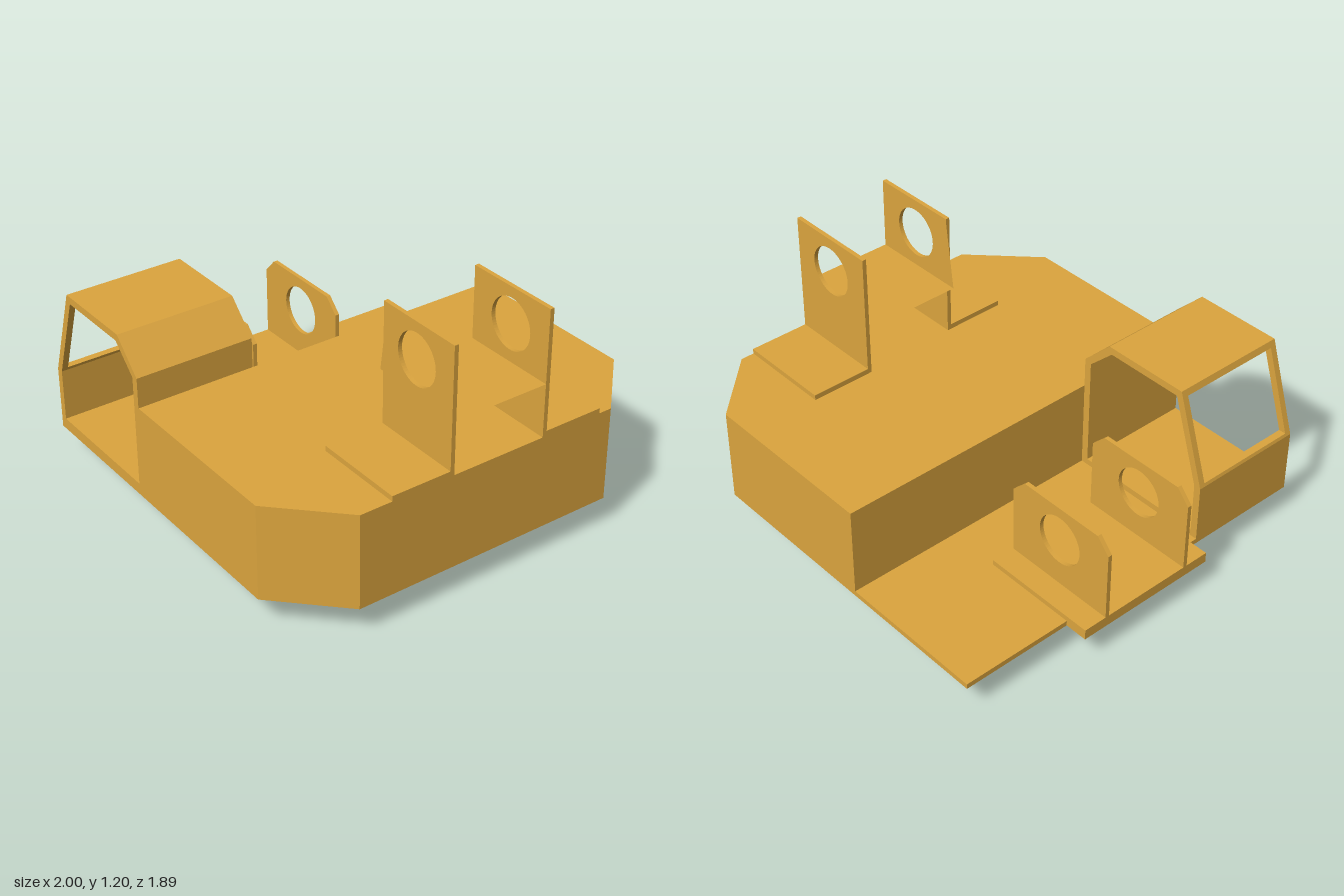
import * as THREE from 'three';

export function createModel() {
  const model = new THREE.Group();
  model.name = 'machineUpperFrame';
  const paint = new THREE.MeshStandardMaterial({ color: 0xdca53e });
  paint.name = 'ochrePaint';
  const sheetPaint = paint;
  sheetPaint.side = THREE.DoubleSide;

  const add = (name, geometry, parent = model) => {
    const mesh = new THREE.Mesh(geometry, paint);
    mesh.name = name;
    parent.add(mesh);
    return mesh;
  };
  const box = (name, x0, x1, y0, y1, z0, z1, parent) =>
    add(name, new THREE.BoxGeometry(x1 - x0, y1 - y0, z1 - z0), parent)
      .position.set((x0 + x1) / 2, (y0 + y1) / 2, (z0 + z1) / 2);
  // Front outline pushed from z0 to z1, with an optional round hole [x, y, radius]
  const slab = (name, points, z0, z1, parent, hole) => {
    const shape = new THREE.Shape(points.map(([x, y]) => new THREE.Vector2(x, y)));
    if (hole) shape.holes.push(new THREE.Path().absarc(...hole, 0, Math.PI * 2, true));
    const geometry = new THREE.ExtrudeGeometry(shape, { depth: z1 - z0, bevelEnabled: false, curveSegments: 32 });
    add(name, geometry.translate(0, 0, z0), parent);
  };

  // Main body with two chamfered corners, outlined in plan
  const plan = [[-0.17, -0.945], [0.71, -0.945], [1, -0.655], [1, 0.655], [0.71, 0.945], [-0.17, 0.945]];
  const bodyShape = new THREE.Shape(plan.map(([x, z]) => new THREE.Vector2(x, -z)));
  const bodyGeometry = new THREE.ExtrudeGeometry(bodyShape, { depth: 0.455, bevelEnabled: false });
  add('body', bodyGeometry.rotateX(-Math.PI / 2).translate(0, 0.145, 0));

  // Open turntable ring underneath
  add('turntableRing', new THREE.CylinderGeometry(0.43, 0.43, 0.145, 64, 1, true)).position.set(0.05, 0.0725, 0);

  // Thin deck beside the body
  box('sideDeck', -0.89, -0.17, 0.145, 0.17, -0.945, 0.37);

  // Cab: bent shell open at front and back
  const cab = new THREE.Group();
  cab.name = 'cab';
  model.add(cab);
  slab('cabShell', [
    [-0.755, 0.86], [-0.745, 0.89], [-0.315, 0.89], [-0.17, 0.745], [-0.17, 0.145], [-0.89, 0.145],
    [-0.89, 0.45], [-0.885, 0.465], [-0.85, 0.465], [-0.855, 0.45], [-0.855, 0.2], [-0.205, 0.2],
    [-0.205, 0.735], [-0.33, 0.855], [-0.72, 0.855],
  ], 0.37, 0.945, cab);
  // Posts on both sides of the slanted window
  for (const z of [0.37, 0.915]) {
    slab('windowPost', [[-0.885, 0.465], [-0.85, 0.465], [-0.72, 0.855], [-0.755, 0.86]], z, z + 0.03, cab);
  }

  // Low bracket on the deck
  const lowBracket = new THREE.Group();
  lowBracket.name = 'lowBracket';
  model.add(lowBracket);
  box('bracketBase', -1, -0.43, 0.145, 0.195, -0.4, 0.315, lowBracket);
  const lug = [[-1, 0.145], [-0.43, 0.145], [-0.43, 0.53], [-0.5, 0.6], [-0.935, 0.6], [-1, 0.53]];
  for (const z of [-0.285, 0.175]) {
    slab('bracketLug', lug, z, z + 0.02, lowBracket, [-0.715, 0.43, 0.12]);
  }

  // Tall brackets on the body, each a foot with an upright
  const tallBracket = new THREE.Group();
  tallBracket.name = 'tallBracket';
  model.add(tallBracket);
  for (const [x, z, footZ0, footZ1] of [[0.555, 0.19, 0.19, 0.5], [0.535, -0.295, -0.59, -0.275]]) {
    box('foot', x, 1, 0.6, 0.625, footZ0, footZ1, tallBracket);
    slab('upright', [[x, 0.6], [1, 0.6], [1, 1.2], [x, 1.2]], z, z + 0.02, tallBracket, [0.77, 1.03, 0.12]);
  }
  // Sheet joining the uprights, and the small fin at its edge
  const sheet = add('crossSheet', new THREE.PlaneGeometry(0.49, 0.465).rotateX(-Math.PI / 2), tallBracket);
  sheet.position.set(0.755, 0.855, -0.0425);
  const fin = new THREE.Shape([[0.51, 0.855], [0.555, 0.855], [0.555, 1.19]].map(([x, y]) => new THREE.Vector2(x, y)));
  add('edgeFin', new THREE.ShapeGeometry(fin), tallBracket).position.z = 0.19;

  return model;
}
